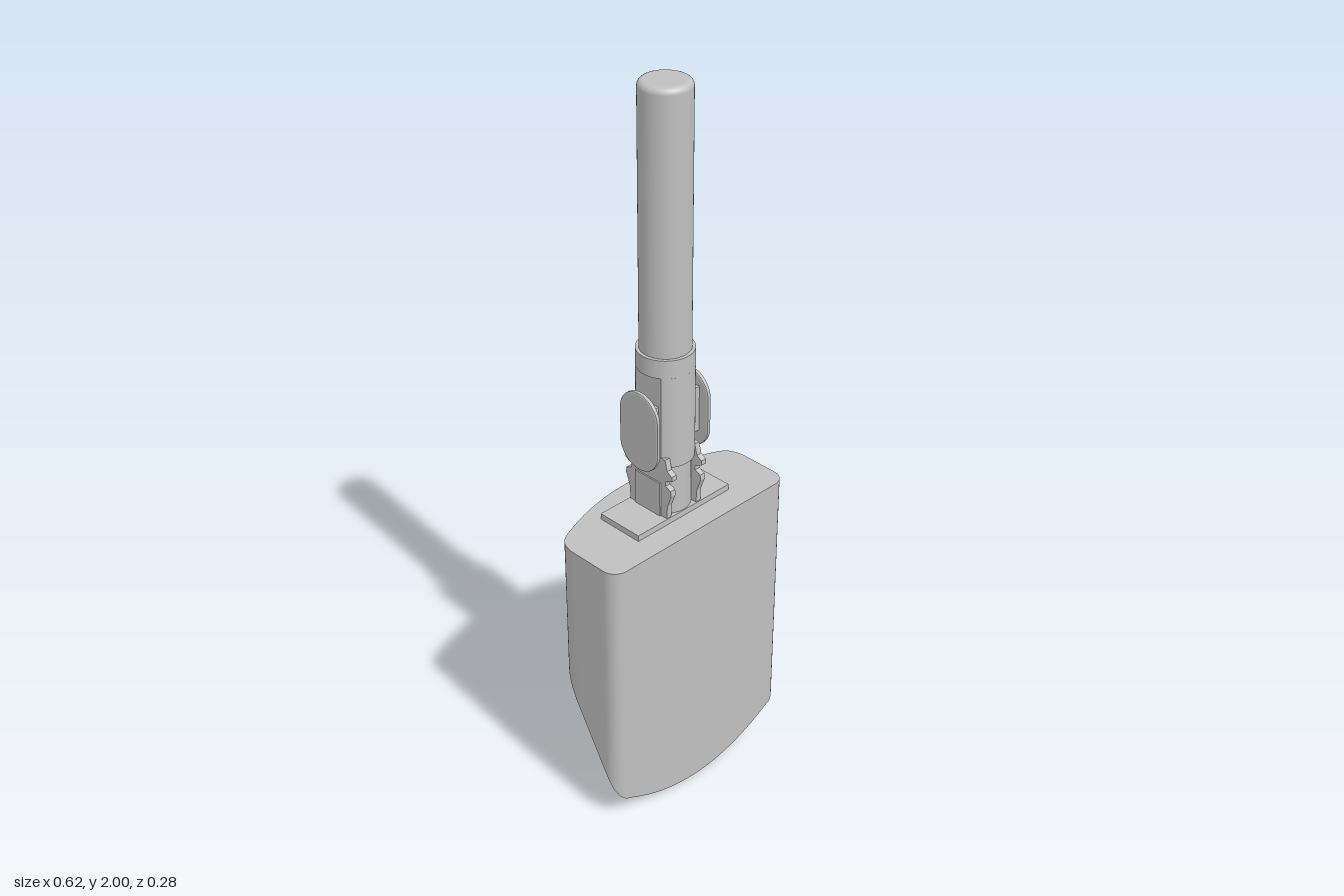
import * as THREE from 'three';

export function createModel() {
  const root = new THREE.Group();
  const steel = new THREE.MeshStandardMaterial({ color: 0xc0c0c0 });
  steel.name = 'grey steel';
  steel.side = THREE.DoubleSide; // the blade is an open sheet
  const add = (name, geo, x = 0, y = 0, z = 0) => {
    const m = new THREE.Mesh(geo, steel);
    m.name = name;
    m.position.set(x, y, z);
    root.add(m);
    return m;
  };
  // Extrudes a plan shape (x, -z) upwards from y0 to y1
  const riseUp = (shape, y0, y1) => new THREE.ExtrudeGeometry(shape, { depth: y1 - y0, bevelEnabled: false, curveSegments: 24 })
    .rotateX(-Math.PI / 2).translate(0, y0, 0);
  // Circle of radius r with flat sides at x = +-w
  const flatSided = (r, w) => {
    const a = Math.acos(w / r), s = new THREE.Shape();
    s.absarc(0, 0, r, a, Math.PI - a, false);
    s.absarc(0, 0, r, Math.PI + a, Math.PI * 2 - a, false);
    s.closePath();
    return s;
  };

  // Scoop plan: flat front, rounded corners, bowed back
  const plan = new THREE.Shape();
  plan.moveTo(0, -0.138);
  plan.lineTo(0.272, -0.138);
  plan.bezierCurveTo(0.294, -0.138, 0.312, -0.12, 0.312, -0.098);
  plan.lineTo(0.312, 0.01);
  plan.bezierCurveTo(0.312, 0.045, 0.3, 0.068, 0.27, 0.08);
  plan.quadraticCurveTo(0, 0.2, -0.27, 0.08);
  plan.bezierCurveTo(-0.3, 0.068, -0.312, 0.045, -0.312, 0.01);
  plan.lineTo(-0.312, -0.098);
  plan.bezierCurveTo(-0.312, -0.12, -0.294, -0.138, -0.272, -0.138);
  plan.lineTo(0, -0.138);
  const outline = plan.getSpacedPoints(200);

  // Scoop wall: slanting cut at the bottom, curved lip on the front
  const top = 0.838, pos = [], idx = [];
  outline.forEach((p, i) => {
    const z = -p.y;
    const bottom = 0.08 * Math.min(1, (p.x / 0.272) ** 2) + (0.138 - z) * 1.74;
    pos.push(p.x, bottom, z, p.x, top, z);
    if (i > 0) {
      const a = 2 * i - 2, b = 2 * i;
      idx.push(a, b, b + 1, a, b + 1, a + 1);
    }
  });
  const wall = new THREE.BufferGeometry();
  wall.setAttribute('position', new THREE.Float32BufferAttribute(pos, 3));
  wall.setIndex(idx);
  wall.computeVertexNormals();
  add('scoopWall', wall);
  add('scoopTop', new THREE.ShapeGeometry(new THREE.Shape(outline)).rotateX(-Math.PI / 2), 0, top, 0);

  // Mounting plate on top of the scoop
  add('mountingPlate', new THREE.BoxGeometry(0.328, 0.018, 0.138), 0, 0.846, 0);

  // Socket: narrow core, flat-sided body and full ring
  add('socketCore', riseUp(flatSided(0.066, 0.042), 0.85, 1.02));
  add('socketBody', riseUp(flatSided(0.075, 0.06), 1.0, 1.26));
  add('socketRing', new THREE.CylinderGeometry(0.075, 0.075, 0.05, 48), 0, 1.285, 0);

  // Notched cheek profile, half width by height
  const half = [[0.066, 0.855], [0.069, 0.895], [0.082, 0.93], [0.08, 0.945], [0.062, 0.953],
    [0.062, 0.966], [0.084, 0.976], [0.084, 0.99], [0.068, 1.0], [0.06, 1.03]];
  const cheek = new THREE.Shape([...half, ...half.map(([z, y]) => [-z, y]).reverse()]
    .map(([z, y]) => new THREE.Vector2(z, y)));

  // Oval side button outline
  const oval = new THREE.Shape();
  oval.absarc(0, 0.045, 0.062, 0, Math.PI, false);
  oval.absarc(0, -0.045, 0.062, Math.PI, Math.PI * 2, false);
  oval.closePath();

  for (const side of [1, -1]) {
    const cheekGeo = new THREE.ExtrudeGeometry(cheek, { depth: 0.016, bevelEnabled: false });
    cheekGeo.translate(0, 0, -0.008).rotateY(Math.PI / 2);
    add('cheekPlate', cheekGeo, side * 0.053);

    const buttonGeo = new THREE.ExtrudeGeometry(oval, {
      depth: 0.006, bevelThickness: 0.003, bevelSize: 0.005, bevelSegments: 3, curveSegments: 20,
    });
    buttonGeo.translate(0, 0, -0.003).rotateY(Math.PI / 2);
    add('sideButton', buttonGeo, side * 0.089, 1.102, 0);
    add('buttonStem', new THREE.BoxGeometry(0.035, 0.13, 0.074), side * 0.068, 1.11, 0);
    add('cheekFoot', new THREE.BoxGeometry(0.012, 0.1, 0.09), side * 0.062, 0.905, 0).scale.x = 0.5;
  }

  // Handle rod with a rounded end
  const profile = [[0.066, 1.29], [0.066, 1.984]];
  for (let i = 1; i <= 6; i++) {
    const a = (i / 6) * Math.PI / 2;
    profile.push([0.05 + 0.016 * Math.cos(a), 1.984 + 0.016 * Math.sin(a)]);
  }
  add('handleRod', new THREE.LatheGeometry(profile.map(([r, y]) => new THREE.Vector2(r, y)), 48));
  add('handleEnd', new THREE.CircleGeometry(0.05, 48).rotateX(-Math.PI / 2), 0, 2, 0);

  return root;
}
